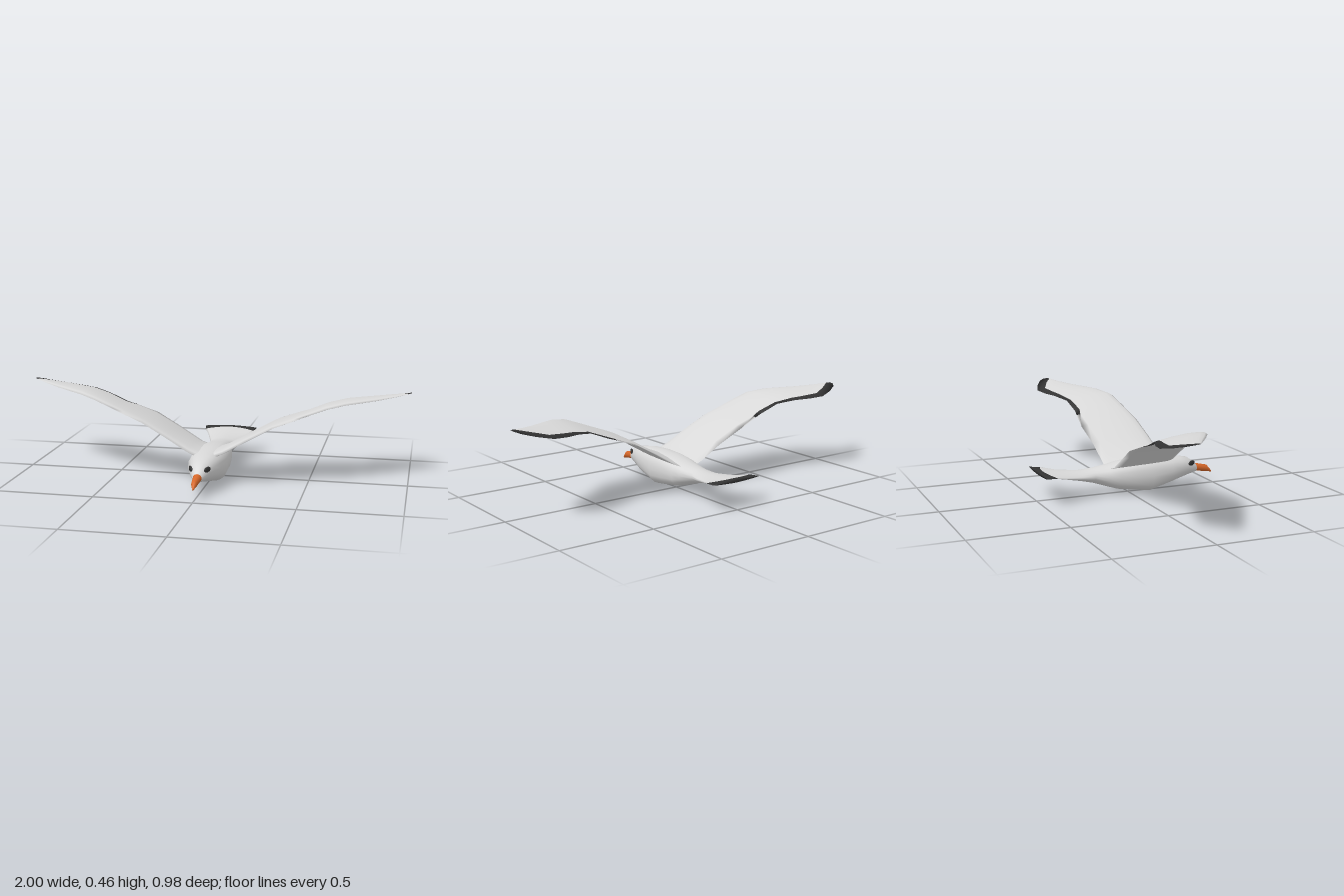
import * as THREE from 'three';

const mat = (name, color, side = THREE.FrontSide) => {
  const m = new THREE.MeshStandardMaterial({ color, side });
  m.name = name;
  return m;
};

// Skin closed rings of points; isDark(ring, segment) picks the second material.
function loft(rings, flip = false, isDark = () => false) {
  const n = rings[0].length, light = [], dark = [];
  for (let i = 0; i < rings.length - 1; i++) {
    for (let j = 0; j < n; j++) {
      const k = (j + 1) % n;
      const a = i * n + j, b = a + n, c = i * n + k, d = c + n;
      const out = isDark(i, j) ? dark : light;
      if (flip) out.push(a, c, b, b, c, d);
      else out.push(a, b, c, b, d, c);
    }
  }
  const g = new THREE.BufferGeometry();
  g.setAttribute('position', new THREE.Float32BufferAttribute(rings.flat(2), 3));
  g.setIndex([...light, ...dark]);
  g.addGroup(0, light.length, 0);
  g.addGroup(light.length, dark.length, 1);
  g.computeVertexNormals();
  return g;
}

// Upright ring: e < 1 is boxy, e > 1 pinches to a thin edge; bow pushes the sides forward.
function ring([z, hw, top, bottom, e = 1, bow = 0], n = 20) {
  const pow = v => Math.sign(v) * Math.abs(v) ** e;
  return Array.from({ length: n }, (_, i) => {
    const a = (i / n) * Math.PI * 2;
    const c = pow(Math.cos(a));
    return [hw * c, (top + bottom) / 2 + (top - bottom) / 2 * pow(Math.sin(a)), z + bow * c * c];
  });
}

// Wing stations: x, leading z and y, trailing z and y, thickness, start of the dark edge
const STATIONS = [
  [0.02, 0.225, 0.145, -0.115, 0.13, 0.03, 0.88],
  [0.085, 0.22, 0.172, -0.11, 0.155, 0.026, 0.88],
  [0.2, 0.21, 0.238, -0.115, 0.225, 0.022, 0.88],
  [0.33, 0.195, 0.308, -0.13, 0.295, 0.018, 0.88],
  [0.44, 0.18, 0.35, -0.115, 0.336, 0.018, 0.93],
  [0.49, 0.172, 0.37, -0.108, 0.352, 0.018, 0.9],
  [0.59, 0.155, 0.407, -0.118, 0.392, 0.019, 0.92],
  [0.68, 0.11, 0.424, -0.16, 0.408, 0.019, 0.88],
  [0.76, 0.062, 0.43, -0.19, 0.412, 0.018, 0.83],
  [0.84, 0.01, 0.436, -0.206, 0.418, 0.016, 0.79],
  [0.92, -0.04, 0.446, -0.18, 0.434, 0.011, 0.6],
  [0.98, -0.078, 0.456, -0.145, 0.45, 0.006, 0.12],
  [1.0, -0.09, 0.46, -0.118, 0.458, 0.001, 0.08],
];
const CHORD = [0, 0.05, 0.16, 0.4, 0.72, 1];

function wingGeometry(side) {
  const rings = STATIONS.map(([x, zl, yl, zt, yt, th, td]) => {
    const at = (t, k) => [side * x, yl + (yt - yl) * t + th * k * Math.sqrt(t) * (1 - t) * 2.4, zl + (zt - zl) * t];
    const ts = [...CHORD.map(t => t * td), 1];
    return [...ts.map(t => at(t, 1)), ...ts.slice(1, -1).reverse().map(t => at(t, -0.25))];
  });
  const edge = CHORD.length - 1; // trailing strip above and below
  return loft(rings, side < 0, (i, j) => i >= 11 || (i >= 4 && (j === edge || j === edge + 1)));
}

export function createModel() {
  const group = new THREE.Group();
  const white = mat('plumageWhite', 0xd8d8d8);
  const whiteThin = mat('wingWhite', 0xd8d8d8, THREE.DoubleSide);
  const black = mat('featherBlack', 0x343434, THREE.DoubleSide);
  const orange = mat('beakOrange', 0xd8682a);
  const add = (name, geometry, material) => {
    const m = new THREE.Mesh(geometry, material);
    m.name = name;
    group.add(m);
    return m;
  };

  // Head, body and fanned tail in one skin, with a dark tail end
  const body = [
    [0.392, 0.001, 0.093, 0.092],
    [0.392, 0.024, 0.114, 0.071],
    [0.34, 0.05, 0.155, 0.06, 0.95],
    [0.29, 0.064, 0.164, 0.047, 0.9],
    [0.225, 0.085, 0.175, 0.031, 0.85],
    [0.11, 0.095, 0.18, 0.0, 0.8],
    [0.02, 0.094, 0.175, 0.012, 0.8],
    [-0.07, 0.085, 0.163, 0.025, 0.85],
    [-0.12, 0.074, 0.153, 0.041, 0.9],
    [-0.2, 0.06, 0.143, 0.068, 1],
    [-0.27, 0.074, 0.136, 0.085, 1.15],
    [-0.37, 0.107, 0.142, 0.11, 1.3],
    [-0.465, 0.136, 0.152, 0.13, 1.4, 0.035],
    [-0.49, 0.146, 0.155, 0.136, 1.4],
    [-0.49, 0.001, 0.146, 0.145],
  ];
  add('body', loft(body.map(s => ring(s)), false, i => i >= 12), [white, black]);

  // Hooked beak
  const beak = [
    [0.489, 0.001, 0.063, 0.062],
    [0.488, 0.004, 0.067, 0.059],
    [0.46, 0.015, 0.1, 0.064],
    [0.4, 0.021, 0.114, 0.072],
    [0.382, 0.024, 0.114, 0.071],
  ];
  add('beak', loft(beak.map(s => ring(s, 12))), orange);

  for (const side of [1, -1]) {
    const label = side > 0 ? 'left' : 'right';
    add(label + 'Wing', wingGeometry(side), [whiteThin, black]);
    // Flattened eye lying along the cheek
    const eye = add(label + 'Eye', new THREE.SphereGeometry(1, 14, 10), black);
    eye.scale.set(0.007, 0.014, 0.025);
    eye.position.set(side * 0.042, 0.128, 0.351);
    eye.rotation.y = -side * 0.45;
  }
  return group;
}
